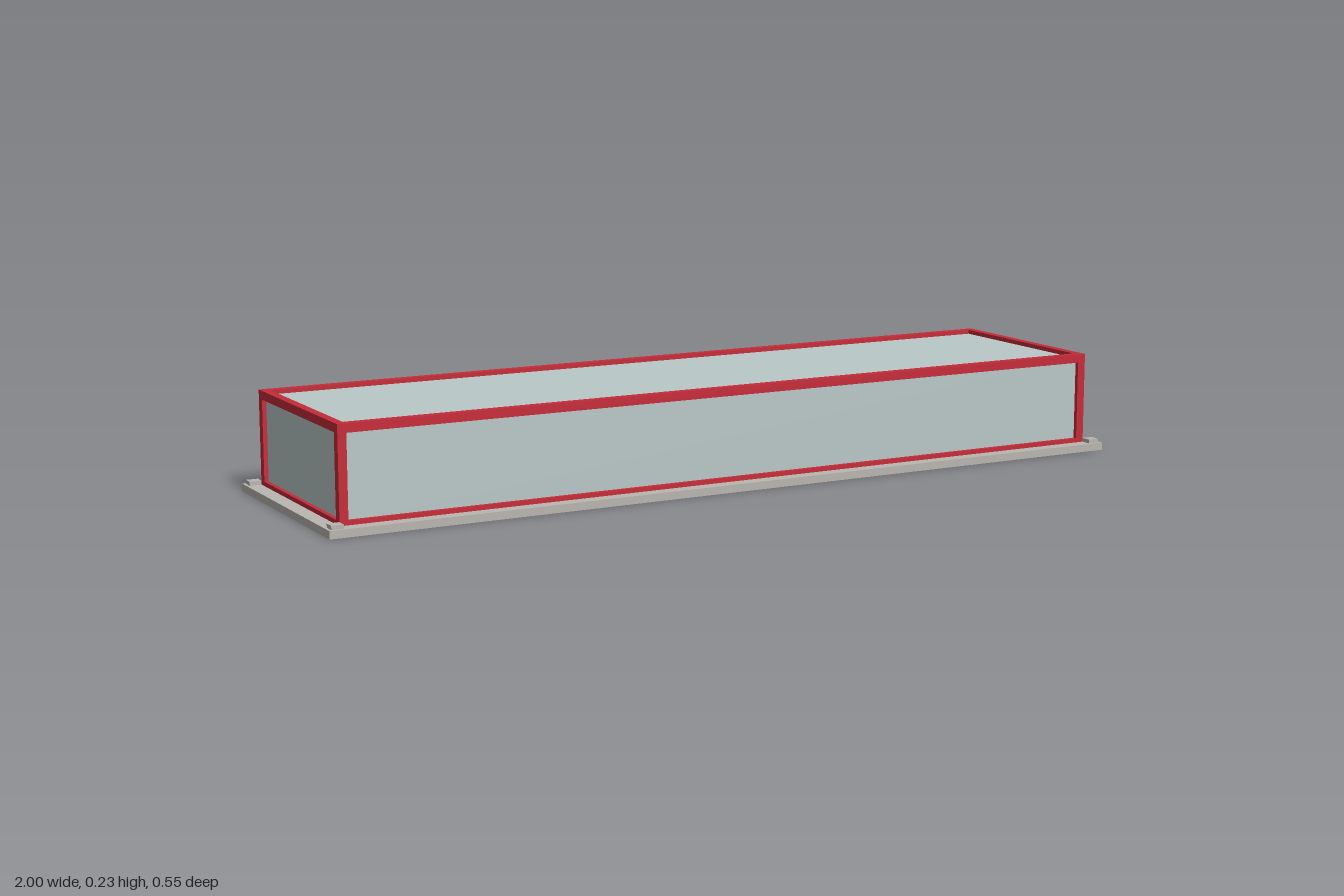
import * as THREE from 'three';

export function createModel() {
  const model = new THREE.Group();
  const mat = (name, color) => {
    const m = new THREE.MeshStandardMaterial({ color });
    m.name = name;
    return m;
  };
  const red = mat('red frame', 0xc62b38);
  const glass = mat('pale glass', 0xbac8c8);
  const stone = mat('grey stone', 0xbab6b0);

  const box = (name, material, size, pos) => {
    const mesh = new THREE.Mesh(new THREE.BoxGeometry(...size), material);
    mesh.name = name;
    mesh.position.set(...pos);
    model.add(mesh);
  };

  // Half extents of the glass body, its bottom and top, and the frame bar width
  const X = 0.955, Z = 0.231, bottom = 0.018, top = 0.225, bar = 0.02;
  const midY = (bottom + top) / 2;

  box('basePlate', stone, [2, bottom, 0.546], [0, bottom / 2, 0]);
  box('glassBody', glass, [2 * X, top - bottom, 2 * Z], [0, midY, 0]);

  // Frame bars centred on the edges of the glass body
  for (const y of [bottom, top]) {
    for (const s of [-1, 1]) {
      box('longRail', red, [2 * X + bar, bar, bar], [0, y, s * Z]);
      box('endRail', red, [bar, bar, 2 * Z - bar], [s * X, y, 0]);
    }
  }
  for (const sx of [-1, 1]) {
    for (const sz of [-1, 1]) {
      box('cornerPost', red, [bar, top - bottom - bar, bar], [sx * X, midY, sz * Z]);
      // Small raised pad on each corner of the base
      box('cornerPad', stone, [0.028, 0.009, 0.026], [sx * 0.979, bottom + 0.0045, sz * 0.253]);
    }
  }
  return model;
}
